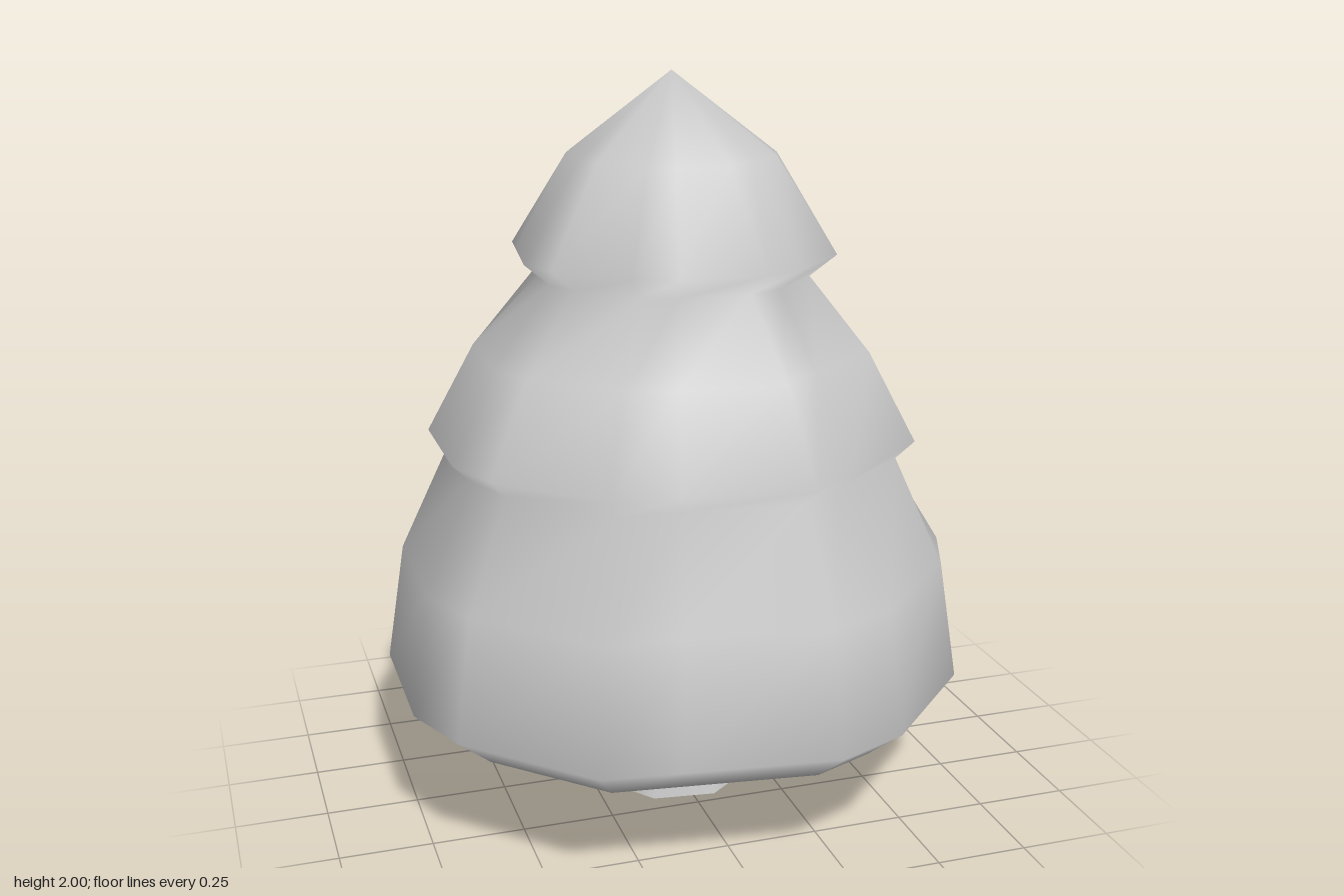
import * as THREE from 'three';

const material = new THREE.MeshStandardMaterial({ color: 0xcccccc });

// Sixteen unevenly spaced directions: an octagon with bevelled corners
const angles = [];
for (let q = 0; q < 4; q++) {
  for (const a of [15, 30, 60, 75]) angles.push(THREE.MathUtils.degToRad(q * 90 + a));
}

// One ring of the foliage; corners listed in cut are shaved off to the chord of their neighbours
function ring(radius, y, cut = []) {
  const n = angles.length;
  const points = angles.map((a) => new THREE.Vector3(Math.cos(a) * radius, y, Math.sin(a) * radius));
  return points.map((p, i) => {
    if (!cut.includes(i)) return p;
    const before = points[(i + n - 1) % n];
    const after = points[(i + 1) % n];
    const t = before.distanceTo(p) / (before.distanceTo(p) + p.distanceTo(after));
    return before.clone().lerp(after, t);
  });
}

// Closed smooth skin through the rings, with a point at each end
function loft(rings, bottomY, topY) {
  const n = angles.length;
  const positions = [];
  const index = [];
  for (const r of rings) for (const p of r) positions.push(p.x, p.y, p.z);
  const bottom = rings.length * n;
  const top = bottom + 1;
  positions.push(0, bottomY, 0, 0, topY, 0);
  const last = (rings.length - 1) * n;
  for (let i = 0; i < n; i++) {
    const j = (i + 1) % n;
    for (let k = 0; k < last; k += n) {
      index.push(k + i, k + n + i, k + j, k + j, k + n + i, k + n + j);
    }
    index.push(bottom, i, j, top, last + j, last + i);
  }
  const geometry = new THREE.BufferGeometry();
  geometry.setAttribute('position', new THREE.Float32BufferAttribute(positions, 3));
  geometry.setIndex(index);
  geometry.computeVertexNormals();
  return geometry;
}

export function createModel() {
  const group = new THREE.Group();
  group.name = 'tree';

  // Three-tiered foliage with slightly irregular rims
  const lowCut = [4];
  const midCut = [0, 2, 4, 13];
  const highCut = [0, 8, 11];
  const foliage = new THREE.Mesh(loft([
    ring(0.70, 0.27, lowCut),
    ring(0.807, 0.36, lowCut),
    ring(0.755, 0.69, lowCut),
    ring(0.62, 0.98, midCut),
    ring(0.67, 1.03, midCut),
    ring(0.54, 1.27, midCut),
    ring(0.375, 1.47, highCut),
    ring(0.447, 1.53, highCut),
    ring(0.28, 1.785),
  ], 0.29, 2), material);
  foliage.name = 'foliage';
  group.add(foliage);

  // Flared trunk
  const trunk = new THREE.Mesh(new THREE.CylinderGeometry(0.16, 0.225, 0.32, 8), material);
  trunk.name = 'trunk';
  trunk.position.y = 0.16;
  trunk.rotation.y = THREE.MathUtils.degToRad(15);
  group.add(trunk);

  return group;
}
